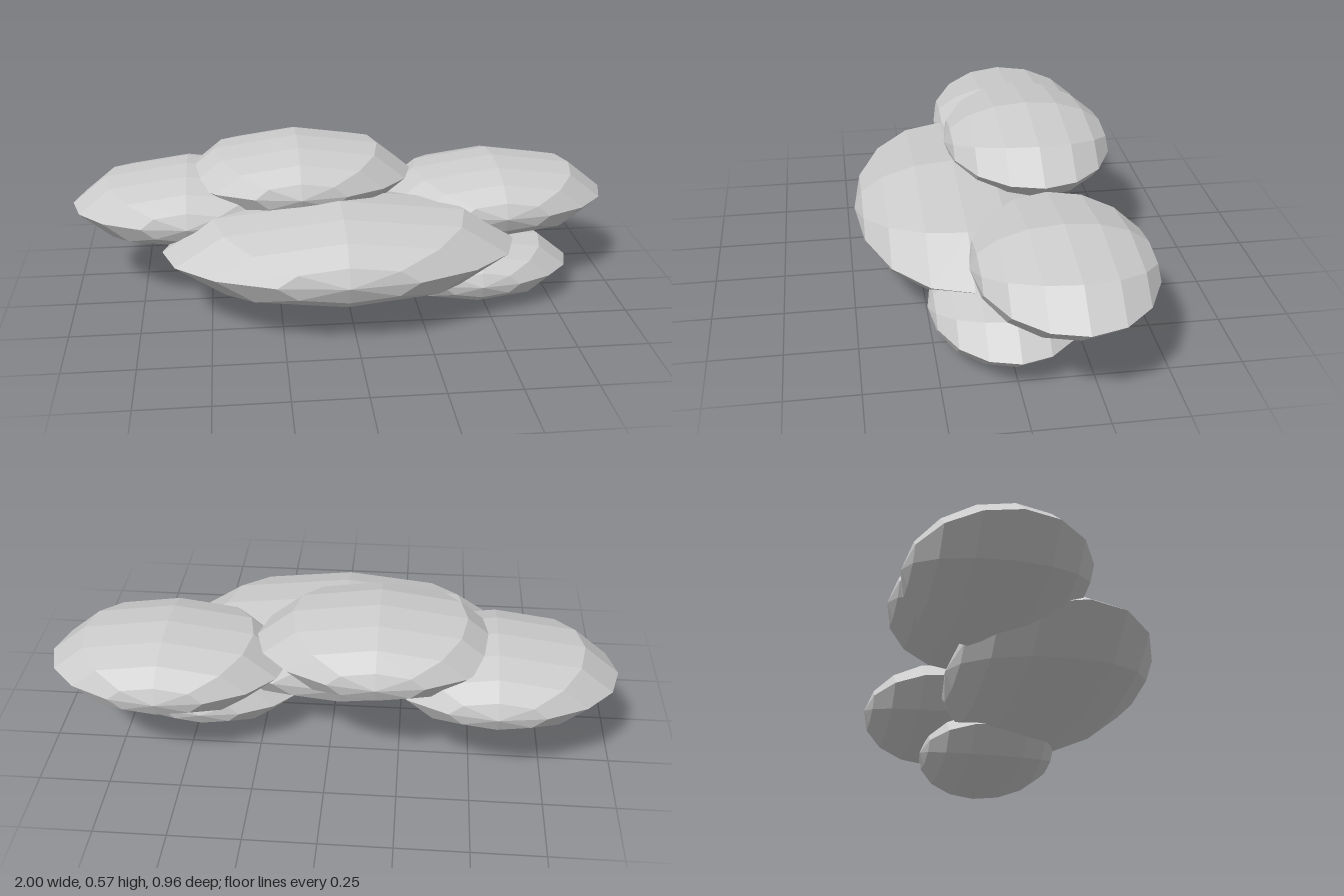
import * as THREE from 'three';

// Low-poly flattened puff: eight-sided ellipsoid with its poles at front and back
function puff(name, [x, y, z], [rx, ry, rz]) {
  const geometry = new THREE.SphereGeometry(1, 8, 8);
  geometry.rotateX(Math.PI / 2);
  geometry.scale(rx, ry, rz);
  const material = new THREE.MeshStandardMaterial({ color: 0xcccccc, flatShading: true });
  const mesh = new THREE.Mesh(geometry, material);
  mesh.name = name;
  mesh.position.set(x, y, z);
  return mesh;
}

export function createModel() {
  const cloud = new THREE.Group();
  cloud.name = 'cloud';

  const medium = [0.425, 0.142, 0.306];
  cloud.add(
    // Wide puff at the front
    puff('frontPuff', [-0.034, 0.25, 0.116], [0.632, 0.169, 0.363]),
    // Three equal puffs along the back
    puff('leftPuff', [0.572, 0.327, -0.173], medium),
    puff('rightPuff', [-0.575, 0.335, -0.174], medium),
    puff('topPuff', [-0.169, 0.431, -0.173], medium),
    // Small puff underneath
    puff('lowerPuff', [0.465, 0.124, 0], [0.364, 0.123, 0.262]),
  );
  return cloud;
}
